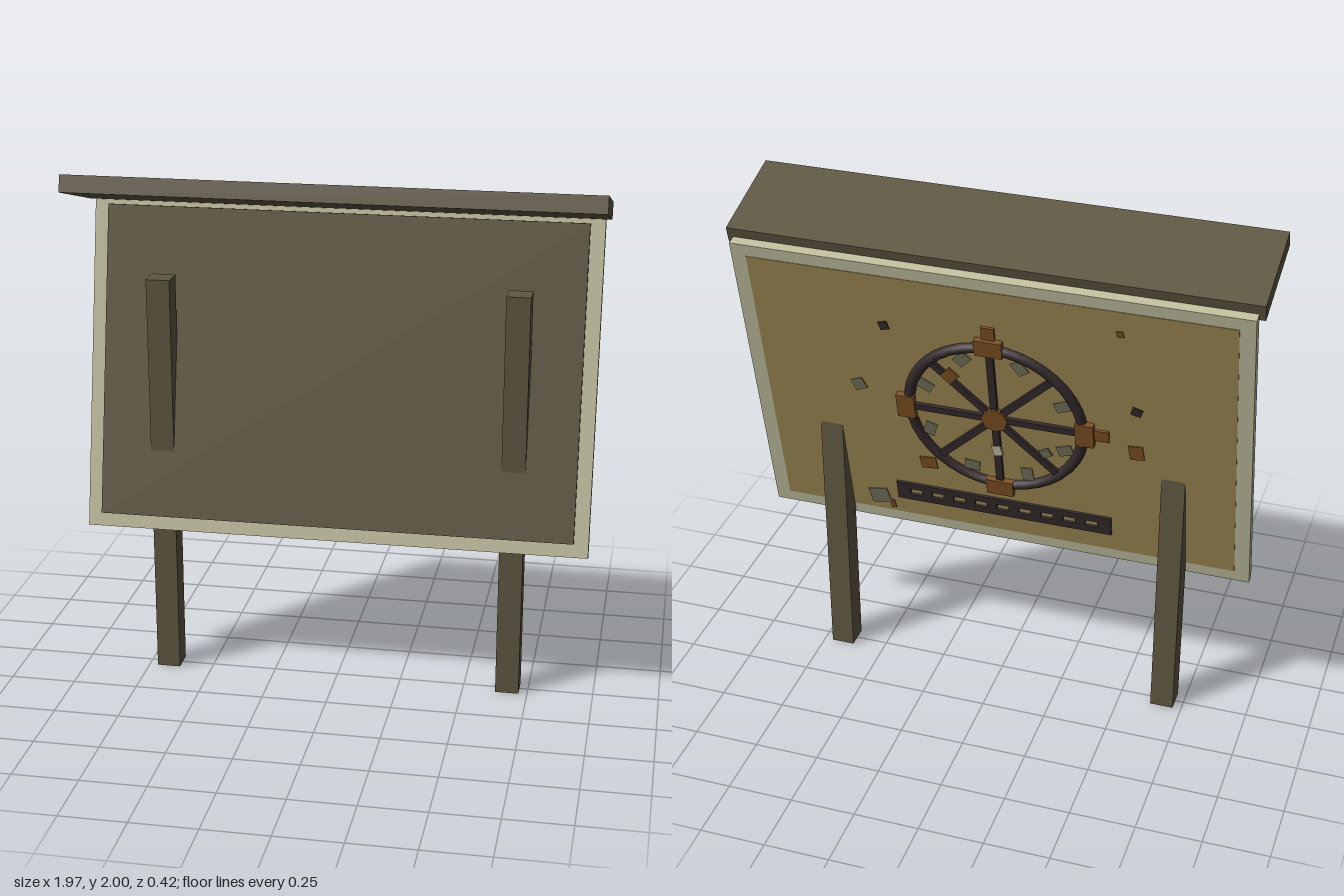
import * as THREE from 'three';

const mat = (name, hex) => {
  const m = new THREE.MeshStandardMaterial({ color: hex });
  m.name = name;
  return m;
};

export function createModel() {
  const wood = mat('dark wood', 0x5e5741);
  const trim = mat('pale trim', 0xc0bf9f);
  const tan = mat('tan board', 0x9f8955);
  const iron = mat('dark iron', 0x352a2c);
  const rust = mat('rusty brown', 0x7d5224);
  const moss = mat('grey green', 0x74725a);

  const model = new THREE.Group();
  model.name = 'noticeBoard';

  const add = (parent, name, geometry, material, x = 0, y = 0, z = 0) => {
    const mesh = new THREE.Mesh(geometry, material);
    mesh.name = name;
    mesh.position.set(x, y, z);
    parent.add(mesh);
    return mesh;
  };
  const box = (w, h, d) => new THREE.BoxGeometry(w, h, d);

  // Two upright posts
  for (const [name, x] of [['leftPost', 0.672], ['rightPost', -0.672]]) {
    add(model, name, box(0.09, 1.58, 0.092), wood, x, 0.79, 0);
  }

  // Sloping roof plank
  const roof = add(model, 'roof', box(1.97, 0.065, 0.388), wood, 0, 1.914, 0.013);
  roof.rotation.x = -0.272;

  // Tilted board: trim slab, wooden front, tan back
  const board = new THREE.Group();
  board.name = 'board';
  board.position.set(0, 1.225, -0.061);
  board.rotation.x = -0.208;
  model.add(board);
  add(board, 'frame', box(1.925, 1.285, 0.038), trim);
  add(board, 'frontPanel', box(1.815, 1.186, 0.02), wood, 0, 0.004, 0.029);
  add(board, 'backPanel', box(1.81, 1.186, 0.004), tan, 0, 0, -0.019);

  // Relief on the back; x runs to the viewer's right, z outward
  const relief = new THREE.Group();
  relief.name = 'backRelief';
  relief.position.z = -0.021;
  relief.rotation.y = Math.PI;
  board.add(relief);

  // Wheel: rim, spokes, hub
  add(relief, 'wheelRim', new THREE.TorusGeometry(0.335, 0.021, 8, 40), iron);
  for (let i = 0; i < 8; i++) {
    const a = (i * Math.PI) / 4;
    const spoke = add(relief, 'spoke', box(0.3, 0.028, 0.02), iron,
      0.175 * Math.cos(a), 0.175 * Math.sin(a), 0.004);
    spoke.rotation.z = a;
    // Moss patches between the spokes
    const b = a + Math.PI / 8;
    const patch = add(relief, 'wheelMoss', box(0.06, 0.045, 0.006), moss,
      0.285 * Math.cos(b), 0.285 * Math.sin(b), 0.002);
    patch.rotation.z = b + i;
  }
  const hub = add(relief, 'hub', new THREE.CylinderGeometry(0.052, 0.052, 0.03, 8), rust, 0, 0, 0.006);
  hub.rotation.x = Math.PI / 2;

  // Brackets clamping the rim
  for (let i = 0; i < 4; i++) {
    const bracket = new THREE.Group();
    bracket.name = 'bracket';
    bracket.rotation.z = (i * Math.PI) / 2;
    relief.add(bracket);
    add(bracket, 'bracketPlate', box(0.07, 0.105, 0.046), rust, 0.345, 0, 0);
    if (i < 2) add(bracket, 'bracketTab', box(0.07, 0.05, 0.02), rust, 0.4, 0, 0);
  }

  // Slotted bar under the wheel
  const bar = new THREE.Shape([[-0.43, -0.043], [0.43, -0.043], [0.43, 0.043], [-0.43, 0.043]]
    .map(([x, y]) => new THREE.Vector2(x, y)));
  for (let i = 0; i < 9; i++) {
    const x = -0.352 + i * 0.088;
    bar.holes.push(new THREE.Path([[-0.024, -0.014], [-0.024, 0.014], [0.024, 0.014], [0.024, -0.014]]
      .map(([dx, y]) => new THREE.Vector2(x + dx, y))));
  }
  add(relief, 'slottedBar',
    new THREE.ExtrudeGeometry(bar, { depth: 0.01, bevelEnabled: false }), iron, 0, -0.464, 0);

  // Small scattered scraps: x, y, width, height, turn, material
  const scraps = [
    [-0.40, 0.367, 0.035, 0.035, 0.3, iron],
    [-0.53, 0.06, 0.05, 0.05, 0.4, moss],
    [-0.287, -0.293, 0.065, 0.055, 0.1, rust],
    [-0.511, -0.52, 0.08, 0.07, 0.2, moss],
    [-0.46, -0.555, 0.02, 0.04, 0.2, rust],
    [0.487, 0.495, 0.025, 0.025, 0.2, rust],
    [0.54, 0.142, 0.04, 0.035, -0.3, iron],
    [0.535, -0.06, 0.055, 0.065, 0.1, rust],
    [-0.16, 0.183, 0.055, 0.05, 0.8, rust],
    [0.19, -0.128, 0.04, 0.035, 0.5, moss],
    [0, -0.155, 0.035, 0.045, 0.2, trim],
  ];
  for (const [x, y, w, h, turn, material] of scraps) {
    add(relief, 'scrap', box(w, h, 0.009), material, x, y, 0.012 * (Math.hypot(x, y) < 0.25)).rotation.z = turn;
  }

  return model;
}
